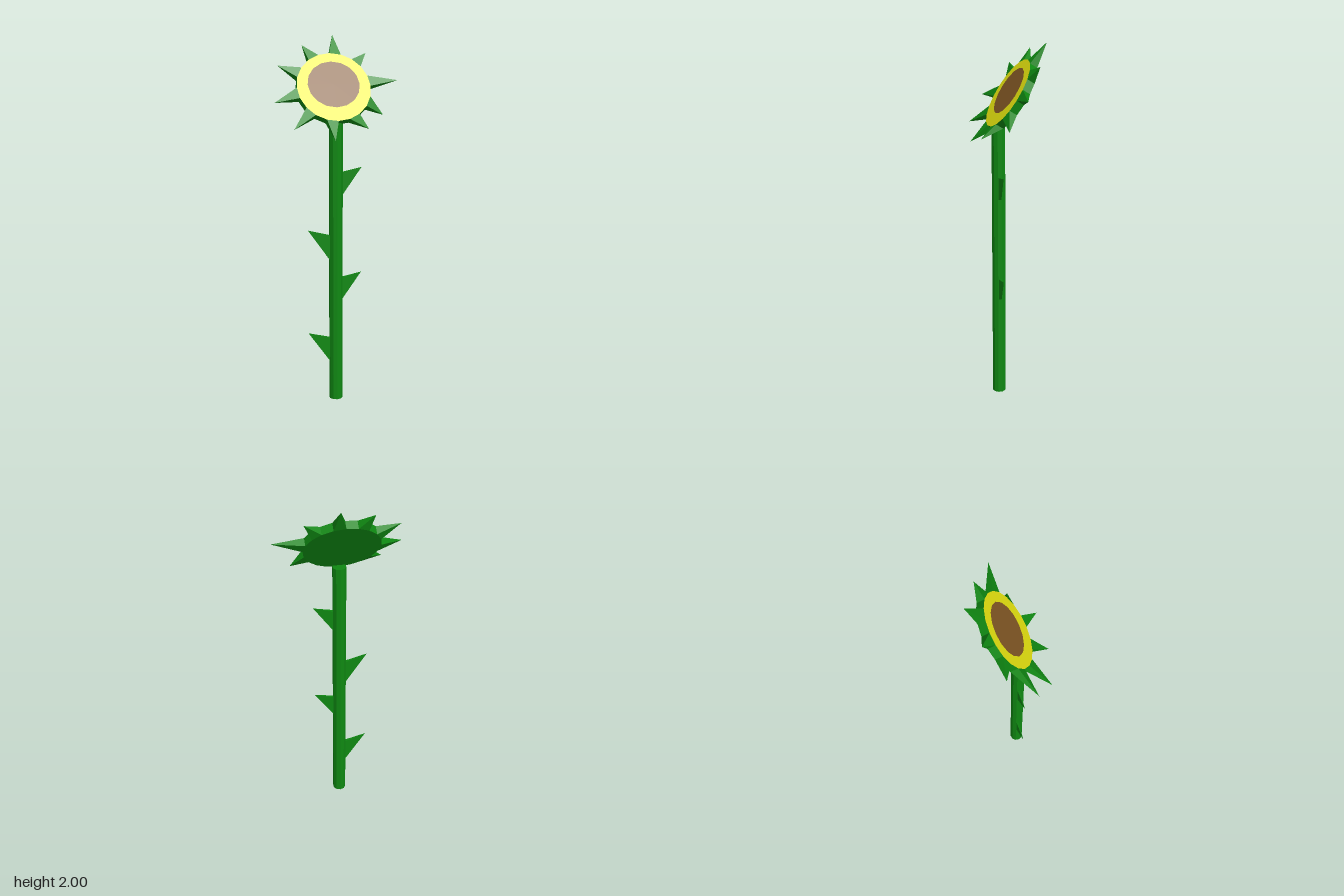
import * as THREE from 'three';

const mat = (name, color) => new THREE.MeshStandardMaterial({ name, color, flatShading: true });

// Pyramid on a four-cornered base; corners run anticlockwise seen from the tip
function pyramid([a, b, c, d], tip) {
  const tris = [a, b, tip, b, c, tip, c, d, tip, d, a, tip, a, d, c, a, c, b];
  const g = new THREE.BufferGeometry();
  g.setAttribute('position', new THREE.Float32BufferAttribute(tris.flat(), 3));
  g.computeVertexNormals();
  return g;
}

export function createModel() {
  const green = mat('leafGreen', 0x0f8812);
  const yellow = mat('petalYellow', 0xe6e40f);
  const brown = mat('seedBrown', 0x825824);
  const model = new THREE.Group();
  model.name = 'flower';
  const add = (parent, name, geo, material) => {
    const m = new THREE.Mesh(geo, material);
    m.name = name;
    parent.add(m);
    return m;
  };

  // Stem
  const stemX = -0.015, stemZ = 0.05, stemR = 0.037, stemH = 1.56;
  add(model, 'stem', new THREE.CylinderGeometry(stemR, stemR, stemH, 10), green)
    .position.set(stemX, stemH / 2, stemZ);

  // Thin pointed leaves, alternating sides up the stem
  [0.22, 0.58, 0.805, 1.165].forEach((y, i) => {
    const s = i % 2 ? 1 : -1;
    const len = s > 0 ? 0.108 : 0.123, h = s > 0 ? 0.125 : 0.14, rise = s > 0 ? 0.15 : 0.175;
    const x = s * 0.033, t = 0.008;
    const base = [[x, 0, s * t], [x, 0, -s * t], [x, h, -s * t], [x, h, s * t]];
    add(model, 'leaf' + (i + 1), pyramid(base, [x + s * len, rise, 0.004]), green)
      .position.set(stemX, y, stemZ);
  });

  // Flower head, tilted up towards the front
  const head = new THREE.Group();
  head.name = 'flowerHead';
  head.position.set(-0.013, 1.74, 0);
  head.rotation.x = -0.577;
  model.add(head);

  const R = 0.2, T = 0.045;
  const disc = new THREE.CylinderGeometry(R, R, T, 20).rotateX(Math.PI / 2).translate(0, 0, -T / 2);
  add(head, 'disc', disc, [green, yellow, green]);
  add(head, 'seedCentre', new THREE.CircleGeometry(0.141, 16).scale(1, 0.96, 1), brown)
    .position.set(0, 0.013, 0.002);

  // Spikes on every other side of the rim, clockwise from the top
  const tips = [
    [0.036, 0.326, -0.024], [0.203, 0.204, -0.011], [0.356, 0.032, -0.003],
    [0.256, -0.153, -0.04], [0.145, -0.267, 0.035], [-0.037, -0.324, 0.022],
    [-0.247, -0.255, 0.025], [-0.332, -0.097, 0.021], [-0.29, 0.133, -0.003],
    [-0.142, 0.26, -0.016],
  ];
  const rim = (k, z) => [R * Math.sin(k * Math.PI / 10), R * Math.cos(k * Math.PI / 10), z];
  tips.forEach((tip, i) => {
    const k = i * 2;
    const base = [rim(k, 0), rim(k, -T), rim(k + 1, -T), rim(k + 1, 0)];
    // Order the corners so the faces look outwards
    add(head, 'spike' + (i + 1), pyramid(base.reverse(), tip), green);
  });

  return model;
}
